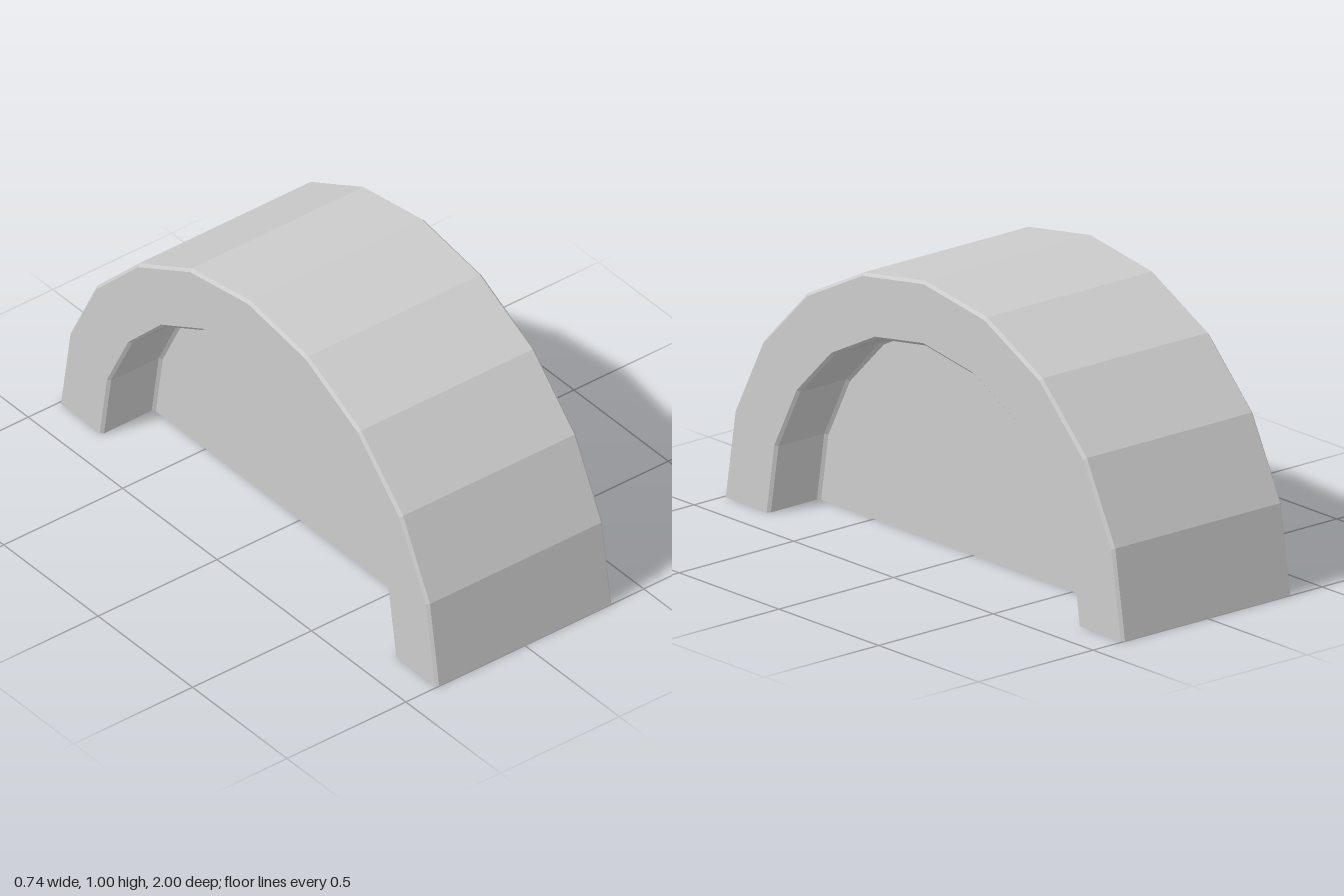
import * as THREE from 'three';

// Half-round hollow arch: a thick rim with a recessed web on each side, open underneath.
export function createModel() {
  const group = new THREE.Group();
  group.name = 'halfWheelArch';

  const material = new THREE.MeshStandardMaterial({
    color: 0xcccccc, flatShading: true, side: THREE.DoubleSide,
  });

  // Half cross-section as [radius, distance from the middle], rim to web centre
  const half = [
    [1, 0.36],       // tread edge
    [0.99, 0.37],    // outer bevel
    [0.785, 0.37],   // side face
    [0.775, 0.36],   // inner bevel
    [0.775, 0.16],   // inner wall
    [0.765, 0.15],   // bevel into web
    [0, 0.15],       // web centre
  ];
  const mirrored = half.map(([r, x]) => [r, -x]).reverse();
  const profile = [...mirrored, ...half].map(([r, x]) => new THREE.Vector2(r, x));

  // Revolve half a turn, then lay the axis along x
  const geometry = new THREE.LatheGeometry(profile, 10, Math.PI, Math.PI);
  geometry.rotateZ(-Math.PI / 2);

  const shell = new THREE.Mesh(geometry, material);
  shell.name = 'archShell';
  group.add(shell);
  return group;
}
